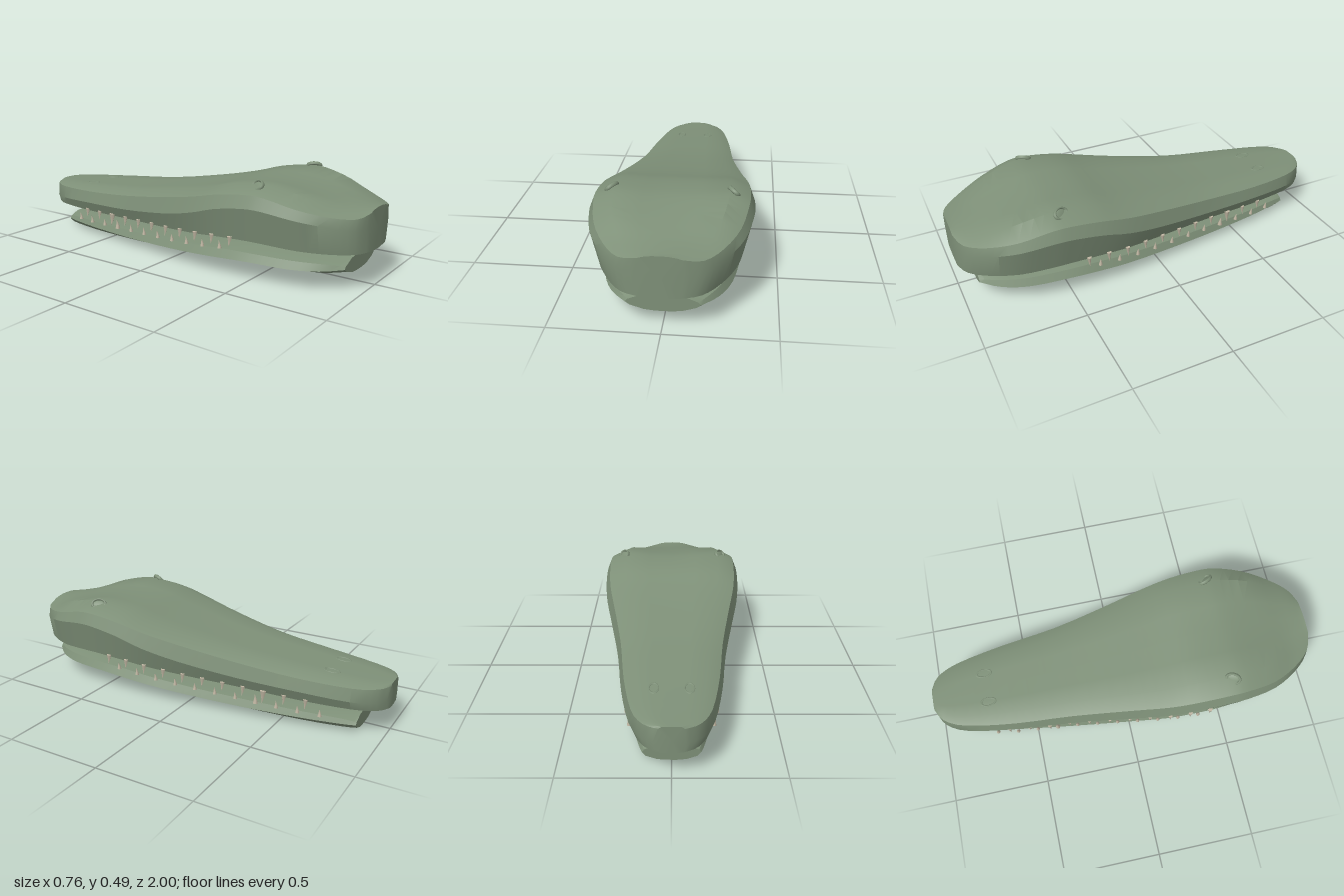
import * as THREE from 'three';
import { toCreasedNormals } from 'three/addons/utils/BufferGeometryUtils.js';

// Upper jaw stations: z, half width, then heights of centre, inner slope, ridge, rim, widest line, lip, underside
const UPPER = [
  [1, .1, .38, .379, .374, .367, .3, .186, .179],
  [.97, .19, .382, .378, .366, .352, .3, .188, .178],
  [.88, .272, .394, .39, .382, .362, .32, .191, .178],
  [.75, .342, .418, .421, .431, .39, .345, .199, .178],
  [.6, .375, .444, .45, .466, .427, .37, .209, .179],
  [.5, .381, .45, .454, .467, .43, .37, .21, .179],
  [.35, .377, .438, .439, .445, .41, .345, .202, .177],
  [.2, .361, .4, .4, .402, .375, .3, .188, .172],
  [0, .322, .358, .359, .36, .335, .255, .172, .162],
  [-.3, .269, .312, .312, .312, .288, .215, .157, .147],
  [-.6, .235, .285, .285, .285, .262, .2, .147, .138],
  [-.85, .187, .268, .268, .266, .25, .185, .141, .132],
  [-.96, .13, .262, .262, .26, .25, .182, .138, .13],
  [-1, .06, .26, .26, .259, .25, .18, .136, .13],
];
const UPPER_X = [0, .35, .7, .94, 1, .9, .3];

// Lower jaw stations: z, half width, then heights of centre, shoulder, top rim, widest line, lower edge, belly, underside
const LOWER = [
  [.92, .165, .149, .143, .118, .105, .09, .071, .066],
  [.83, .24, .159, .154, .131, .1, .086, .079, .077],
  [.7, .292, .167, .163, .135, .098, .089, .088, .088],
  [.5, .32, .169, .165, .137, .1, .092, .092, .092],
  [.35, .321, .156, .153, .132, .091, .083, .084, .085],
  [.2, .313, .137, .134, .119, .08, .069, .068, .068],
  [0, .284, .117, .115, .102, .064, .052, .047, .046],
  [-.3, .24, .099, .097, .086, .05, .034, .026, .024],
  [-.6, .193, .089, .087, .075, .045, .024, .012, .01],
  [-.8, .151, .086, .083, .067, .044, .022, .007, .004],
  [-.87, .13, .085, .079, .057, .044, .024, .007, .003],
];
const LOWER_X = [0, .55, .93, 1, .87, .5, .2];

// Smoothly subdivide the stations
function refine(rows, steps) {
  const out = [];
  for (let i = 0; i < rows.length - 1; i++) {
    const [a, b, c, d] = [rows[Math.max(i - 1, 0)], rows[i], rows[i + 1], rows[Math.min(i + 2, rows.length - 1)]];
    for (let s = 0; s < steps; s++) {
      const t = s / steps;
      out.push(b.map((v, k) => v + .5 * t * (c[k] - a[k] + t * (2 * a[k] - 5 * v + 4 * c[k] - d[k]
        + t * (3 * (v - c[k]) + d[k] - a[k])))));
    }
  }
  out.push(rows[rows.length - 1]);
  return out;
}

// Values of all columns at a given z
function at(rows, z) {
  let i = 0;
  while (i < rows.length - 2 && rows[i + 1][0] > z) i++;
  const t = (rows[i][0] - z) / (rows[i][0] - rows[i + 1][0]);
  return rows[i].map((v, k) => v + (rows[i + 1][k] - v) * t);
}

// Mirrored cross-sections joined along z and closed at both ends
function loft(rows, fractions) {
  const pos = [], idx = [], sections = refine(rows, 3);
  const n = fractions.length, ringSize = 2 * n - 1;
  for (const [z, w, ...ys] of sections) {
    const half = fractions.map((f, k) => [f * w, ys[k], z]);
    pos.push(...half.flat(), ...half.slice(1).reverse().flatMap(([x, y]) => [-x, y, z]));
  }
  const last = sections.length - 1;
  for (let r = 0; r < last; r++) for (let j = 0; j < ringSize; j++) {
    const a = r * ringSize + j, b = r * ringSize + (j + 1) % ringSize;
    idx.push(a, b, a + ringSize, b, b + ringSize, a + ringSize);
  }
  [0, last].forEach((r) => {
    const c = pos.length / 3, s = sections[r];
    pos.push(0, (s[2] + s[s.length - 1]) / 2, s[0]);
    for (let j = 0; j < ringSize; j++) {
      const a = r * ringSize + j, b = r * ringSize + (j + 1) % ringSize;
      idx.push(c, r ? a : b, r ? b : a);
    }
  });
  const g = new THREE.BufferGeometry();
  g.setAttribute('position', new THREE.Float32BufferAttribute(pos, 3));
  g.setIndex(idx);
  return toCreasedNormals(g, .55);
}

// Small cone standing on its base, its tip bent towards +x
function toothGeometry() {
  const g = new THREE.ConeGeometry(.014, .055, 6, 3).translate(0, .0275, 0);
  const p = g.attributes.position;
  for (let i = 0; i < p.count; i++) p.setX(i, p.getX(i) + 3 * p.getY(i) ** 2);
  g.computeVertexNormals();
  return g;
}

export function createModel() {
  const model = new THREE.Group();
  const material = (name, color) => Object.assign(new THREE.MeshStandardMaterial({ color }), { name });
  const skin = material('green skin', 0x7e9078);
  const ivory = material('ivory', 0xc2b8a4);

  const add = (name, geometry, mat, parent = model) => {
    const mesh = new THREE.Mesh(geometry, mat);
    mesh.name = name;
    parent.add(mesh);
    return mesh;
  };

  add('upperJaw', loft(UPPER, UPPER_X), skin);
  add('lowerJaw', loft(LOWER, LOWER_X), skin);

  const tooth = toothGeometry();
  const ring = new THREE.TorusGeometry(1, .2, 8, 24).rotateX(Math.PI / 2);
  const ball = new THREE.SphereGeometry(1, 16, 10);

  for (const side of [1, -1]) {
    const name = side > 0 ? 'left' : 'right';

    // Eye: narrow oval lid around a low eyeball, leaning outwards
    const eye = new THREE.Group();
    eye.name = name + 'Eye';
    eye.position.set(side * .281, .462, .525);
    eye.rotation.set(0, side * .5, -side * .82);
    add('eyelid', ring, skin, eye).scale.set(.026, .05, .035);
    add('eyeball', ball, skin, eye).scale.set(.022, .005, .032);
    model.add(eye);

    // Nostril: low oval rim
    const nostril = new THREE.Group();
    nostril.name = name + 'Nostril';
    nostril.position.set(side * .08, .275, -.715);
    nostril.rotation.x = -.07;
    add('nostrilRim', ring, skin, nostril).scale.set(.021, .02, .038);
    model.add(nostril);

    // Teeth: two alternating rows along the lip, one hanging and one rising
    const teeth = new THREE.Group();
    teeth.name = name + 'Teeth';
    for (let i = 0; i < 11; i++) {
      const z = .42 - i * .106, u = at(UPPER, z);
      const t = add('upperTooth', tooth, ivory, teeth);
      t.position.set(side * u[1] * .92, u[7] + .012, z);
      t.rotation.set(Math.PI, side > 0 ? 0 : Math.PI, 0);
      t.scale.setScalar(i === 8 ? 1.2 : .9);
    }
    for (let i = 0; i < 11; i++) {
      const z = .36 - i * .107, u = at(UPPER, z), l = at(LOWER, z);
      const t = add('lowerTooth', tooth, ivory, teeth);
      t.position.set(side * u[1] * .91, l[2] - .008, z);
      t.rotation.y = side > 0 ? 0 : Math.PI;
      t.scale.setScalar(i === 7 ? .95 : .75);
    }
    model.add(teeth);
  }
  return model;
}
